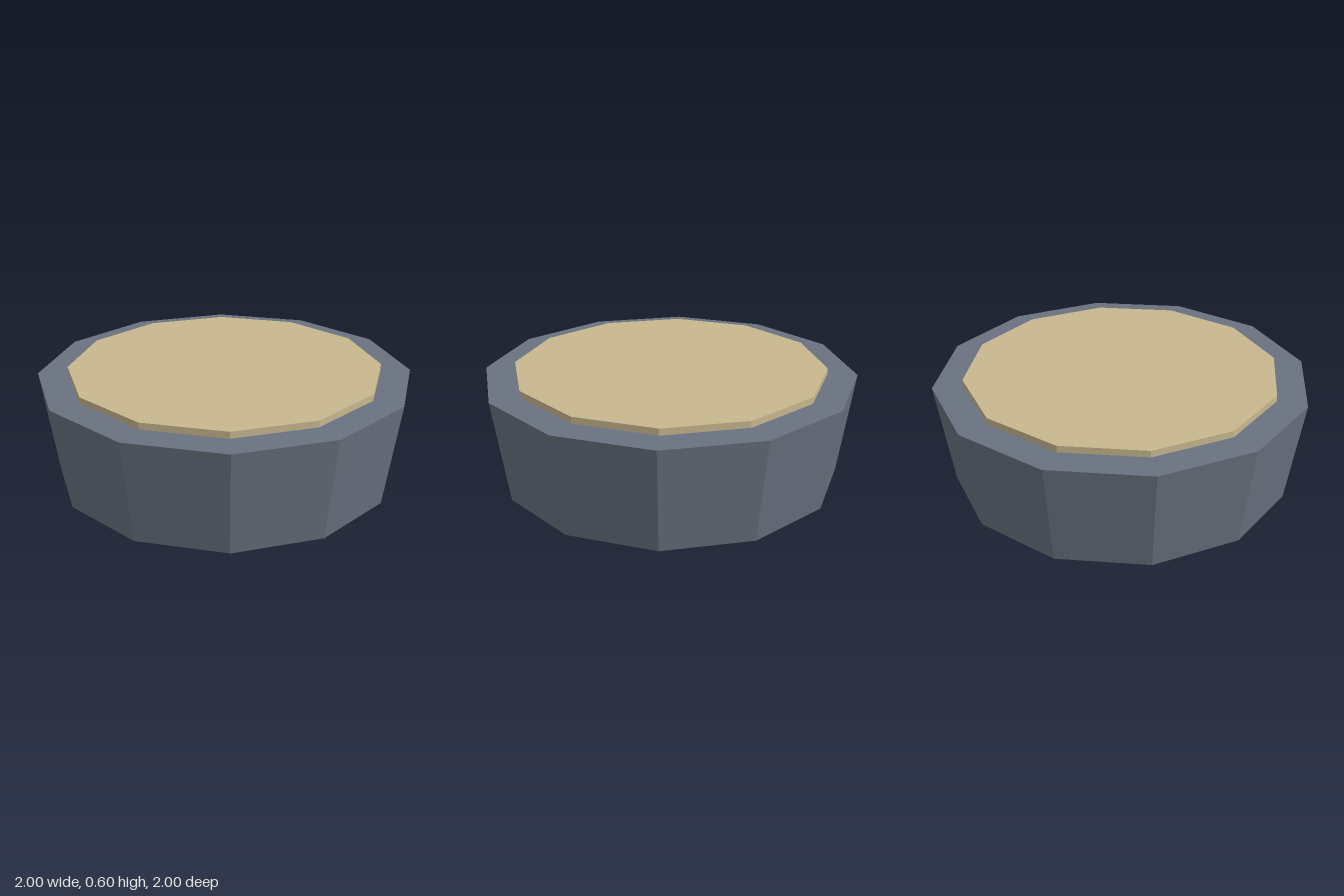
import * as THREE from 'three';

const SIDES = 12;

export function createModel() {
  const group = new THREE.Group();
  const slate = new THREE.MeshStandardMaterial({ color: 0x6b7280 });
  slate.name = 'slateGrey';
  const sand = new THREE.MeshStandardMaterial({ color: 0xc8b88f });
  sand.name = 'sand';

  // Faceted twelve-sided drum spanning y0 to y1
  function drum(name, topRadius, bottomRadius, y0, y1, material) {
    const geometry = new THREE.CylinderGeometry(topRadius, bottomRadius, y1 - y0, SIDES).toNonIndexed();
    geometry.computeVertexNormals();
    const mesh = new THREE.Mesh(geometry, material);
    mesh.name = name;
    mesh.position.y = (y0 + y1) / 2;
    group.add(mesh);
  }

  // Tapered base, wider at the top
  drum('base', 1, 0.92, 0, 0.56, slate);
  // Thin raised disc on the base
  drum('topDisc', 0.84, 0.84, 0.56, 0.595, sand);

  return group;
}
